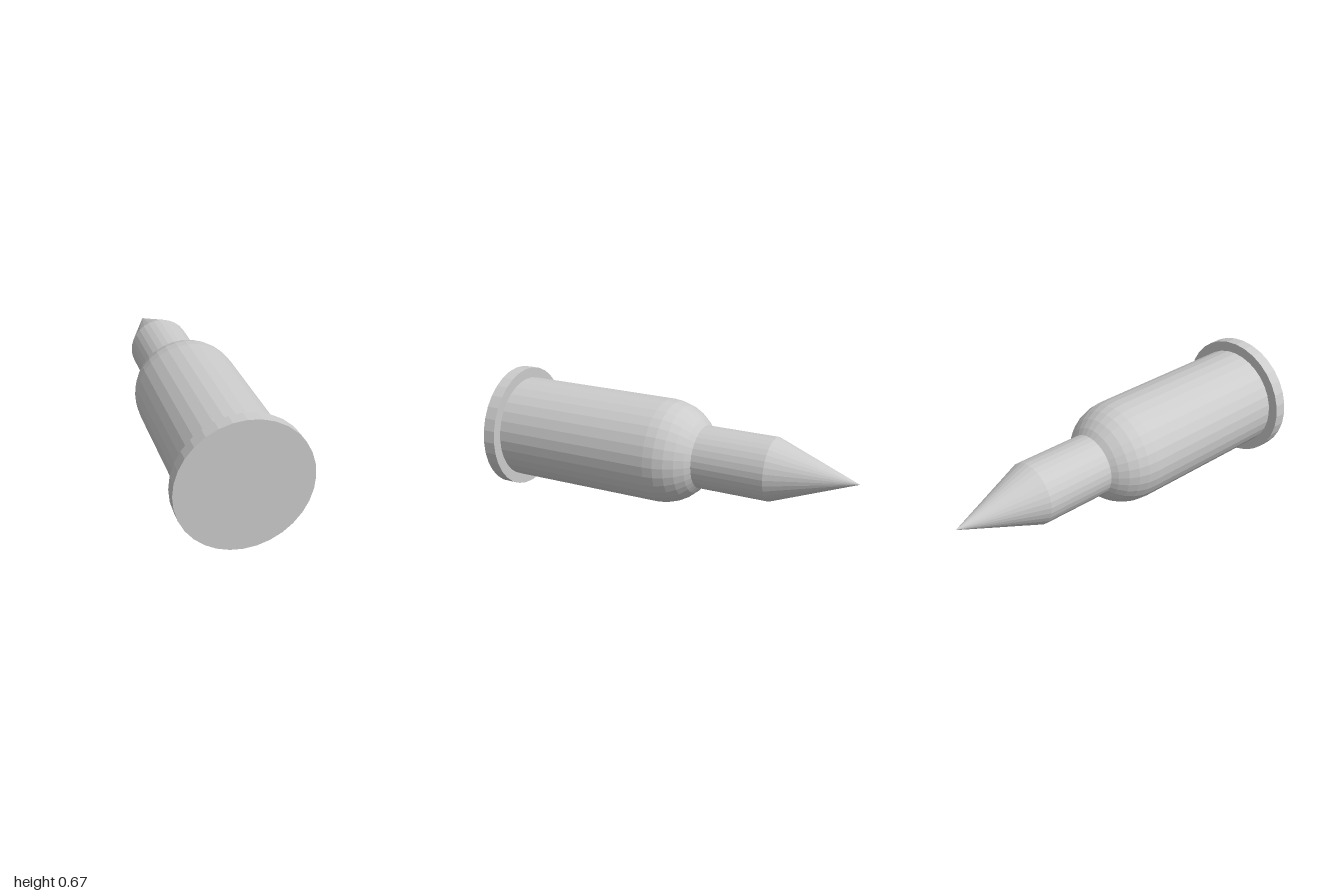
import * as THREE from 'three';

const SIDES = 32;
const AXIS_Y = 0.333;

export function createModel() {
  const group = new THREE.Group();
  group.name = 'cartridge';
  const material = new THREE.MeshStandardMaterial({ color: 0xcccccc, flatShading: true });

  // Lay a part built along +y onto the long axis, pointing to -z
  function add(name, geometry, z) {
    geometry.rotateX(-Math.PI / 2);
    const mesh = new THREE.Mesh(geometry, material);
    mesh.name = name;
    mesh.position.set(0, AXIS_Y, z);
    group.add(mesh);
  }

  // Cylinder or cone between two z positions
  function section(name, rBack, rTip, zBack, zTip, open = false) {
    const geometry = new THREE.CylinderGeometry(rTip, rBack, zBack - zTip, SIDES, 1, open);
    add(name, geometry, (zBack + zTip) / 2);
  }

  section('baseRim', 0.333, 0.333, 1, 0.933);
  section('caseBody', 0.277, 0.277, 0.933, 0.056, true);

  // Rounded shoulder
  add('shoulder', new THREE.SphereGeometry(0.277, SIDES, 8, 0, Math.PI * 2, 0, Math.PI / 2), 0.056);

  // Neck runs into the shoulder
  section('neck', 0.166, 0.166, 0, -0.555, true);
  section('tip', 0.166, 0, -0.555, -1, true);

  return group;
}
